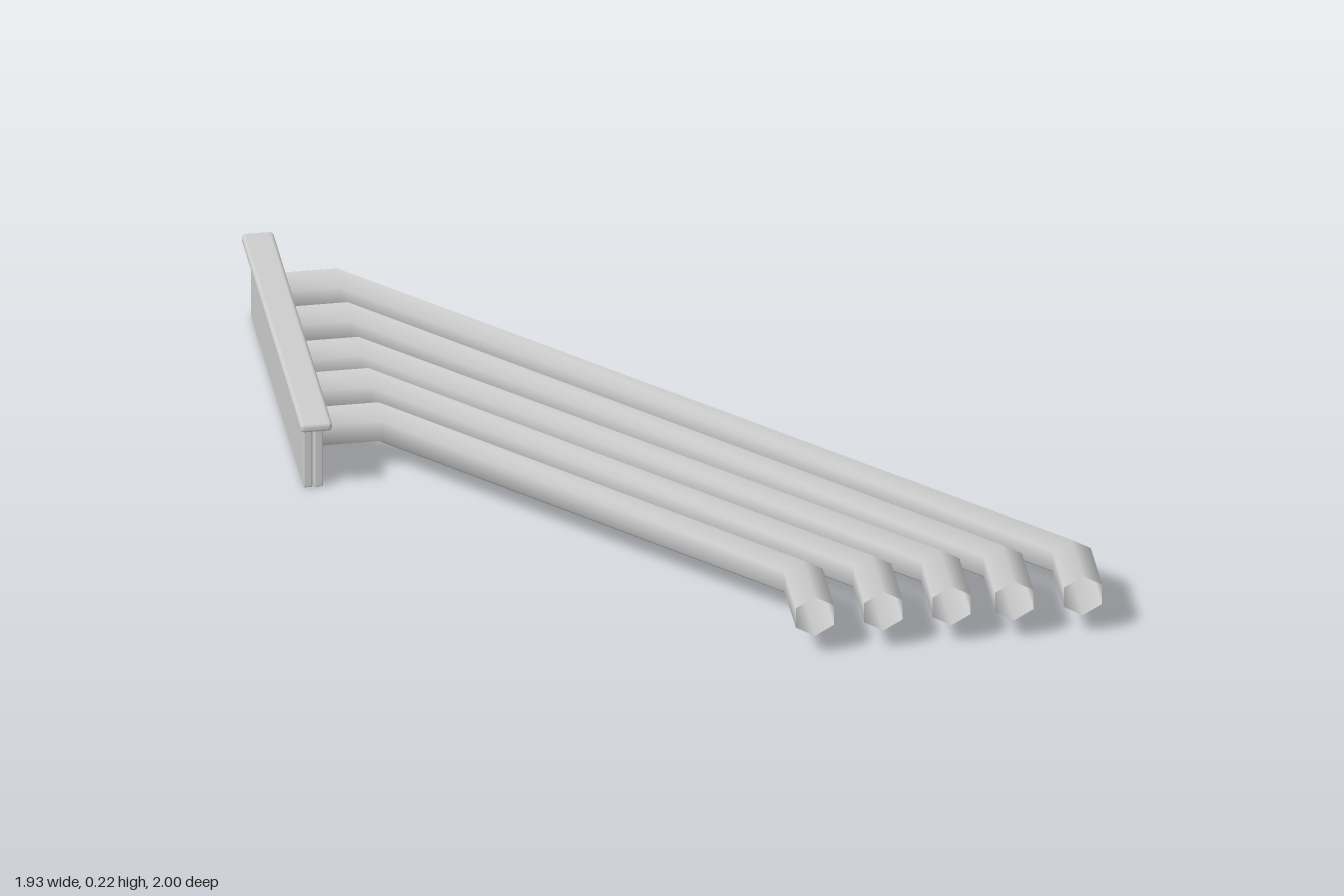
import * as THREE from 'three';
import { RoundedBoxGeometry } from 'three/addons/geometries/RoundedBoxGeometry.js';

const SIDES = 6, RADIUS = 0.0575, PIPE_Y = 0.116;

// Open hexagonal pipe: leaves the plate along +x, runs diagonally, ends along +z.
// Rings stay upright in the yz plane, then in the xy plane, so the diagonal is slimmer.
function pipeGeometry(startZ, endX) {
  const rings = [
    { x: -0.905, z: startZ, sx: 0, sz: -1 },
    { x: -0.74, z: startZ, sx: 0, sz: -1 },
    { x: endX, z: 0.81, sx: 1, sz: 0 },
    { x: endX, z: 1, sx: 1, sz: 0 },
  ];
  const positions = [], index = [];
  rings.forEach((ring, i) => {
    for (let j = 0; j < SIDES; j++) {
      const a = (j / SIDES) * Math.PI * 2;
      const side = Math.sin(a) * RADIUS;
      positions.push(ring.x + ring.sx * side, PIPE_Y + Math.cos(a) * RADIUS, ring.z + ring.sz * side);
      if (i === rings.length - 1) continue;
      const p = i * SIDES + j, q = i * SIDES + (j + 1) % SIDES;
      index.push(p, p + SIDES, q, q, p + SIDES, q + SIDES);
    }
  });
  const geometry = new THREE.BufferGeometry();
  geometry.setAttribute('position', new THREE.Float32BufferAttribute(positions, 3));
  geometry.setIndex(index);
  geometry.computeVertexNormals();
  return geometry;
}

export function createModel() {
  const model = new THREE.Group();
  model.name = 'pipeManifold';
  const grey = new THREE.MeshStandardMaterial({ color: 0xcccccc });
  const openGrey = new THREE.MeshStandardMaterial({ color: 0xcccccc, side: THREE.DoubleSide });

  function slab(name, size, center, radius) {
    const mesh = new THREE.Mesh(new RoundedBoxGeometry(...size, 3, radius), grey);
    mesh.name = name;
    mesh.position.set(...center);
    model.add(mesh);
  }

  // Wall: two thin upright plates under a rounded cap rail
  slab('outerPlate', [0.024, 0.195, 0.89], [-0.941, 0.0975, -0.495], 0.005);
  slab('innerPlate', [0.024, 0.195, 0.89], [-0.913, 0.0975, -0.495], 0.005);
  slab('capRail', [0.083, 0.027, 1], [-0.9265, 0.2035, -0.5], 0.011);

  // Five nested pipes, longest first
  const runs = [[-0.855, 0.912], [-0.68, 0.733], [-0.50, 0.57], [-0.338, 0.393], [-0.16, 0.215]];
  runs.forEach(([startZ, endX], i) => {
    const pipe = new THREE.Mesh(pipeGeometry(startZ, endX), openGrey);
    pipe.name = `pipe${i + 1}`;
    model.add(pipe);
  });

  return model;
}
